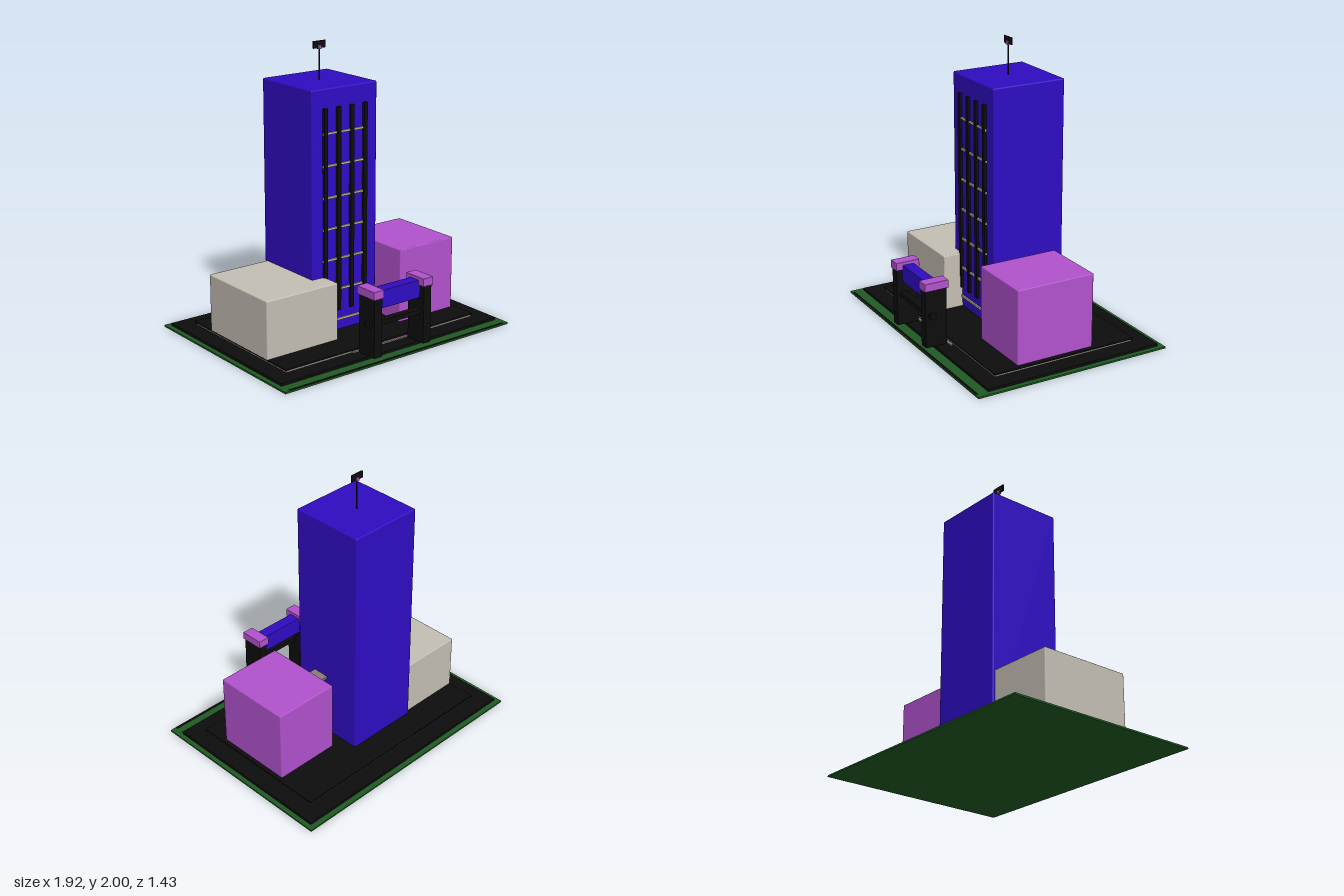
import * as THREE from 'three';
import { RoundedBoxGeometry } from 'three/addons/geometries/RoundedBoxGeometry.js';

const makeMaterial = (name, color) => {
  const m = new THREE.MeshStandardMaterial({ color });
  m.name = name;
  return m;
};

export function createModel() {
  const blue = makeMaterial('tower blue', 0x2f0cc2);
  const purple = makeMaterial('block purple', 0xb052cc);
  const beige = makeMaterial('block beige', 0xc4beb3);
  const grey = makeMaterial('concrete grey', 0x857d78);
  const black = makeMaterial('paving black', 0x0d0d0d);
  const green = makeMaterial('lawn green', 0x1f5a23);
  const sand = makeMaterial('window band sand', 0xc2b48c);

  const model = new THREE.Group();
  model.name = 'officeComplex';

  // Box given by its limits on each axis; a radius softens its edges.
  function block(name, material, [x0, x1], [y0, y1], [z0, z1], radius = 0, parent = model) {
    const size = [x1 - x0, y1 - y0, z1 - z0];
    const geometry = radius
      ? new RoundedBoxGeometry(...size, 2, radius)
      : new THREE.BoxGeometry(...size);
    const mesh = new THREE.Mesh(geometry, material);
    mesh.position.set((x0 + x1) / 2, (y0 + y1) / 2, (z0 + z1) / 2);
    mesh.name = name;
    parent.add(mesh);
    return mesh;
  }

  // Stepped site: lawn, paving and raised plaza
  block('lawn', green, [-0.96, 0.96], [0, 0.012], [-0.72, 0.715]);
  block('kerb', black, [-0.92, 0.92], [0.01, 0.015], [0.695, 0.71]);
  block('paving', black, [-0.925, 0.925], [0.012, 0.03], [-0.68, 0.625]);
  block('plazaBase', grey, [-0.8, 0.8], [0.03, 0.045], [-0.55, 0.505]);
  block('plazaTop', black, [-0.81, 0.81], [0.045, 0.055], [-0.56, 0.512]);

  // Main buildings
  block('tower', blue, [-0.34, 0.205], [0.05, 1.74], [-0.372, 0.172], 0.01);
  block('lowBlock', beige, [-0.812, -0.235], [0.05, 0.455], [-0.352, 0.315], 0.008);
  block('sideBlock', purple, [0.298, 0.78], [0.05, 0.577], [-0.25, 0.325], 0.008);

  // Bridge between tower and side block
  block('bridgeFloor', grey, [0.2, 0.302], [0.435, 0.452], [-0.1, 0.02]);
  block('bridgeRoof', grey, [0.2, 0.302], [0.505, 0.524], [-0.1, 0.02]);

  // Front facade: upright fins crossed by window bands
  const facade = new THREE.Group();
  facade.name = 'facade';
  model.add(facade);
  for (let i = 0; i < 4; i++) {
    const x = -0.235 + i * 0.111;
    block('fin', black, [x - 0.015, x + 0.015], [0.2, 1.61], [0.168, 0.19], 0, facade);
  }
  for (let i = 0; i < 7; i++) {
    const y = 0.132 + i * 0.218;
    block('windowBand', sand, [-0.253, 0.117], [y - 0.007, y + 0.007], [0.168, 0.183], 0, facade);
  }

  // Roof mast with beacon and flag
  const mast = new THREE.Mesh(new THREE.CylinderGeometry(0.005, 0.005, 0.27, 12), black);
  mast.name = 'mast';
  mast.position.set(-0.07, 1.865, -0.1);
  model.add(mast);
  block('flag', black, [-0.12, -0.02], [1.95, 2], [-0.104, -0.096]);
  block('beacon', purple, [-0.083, -0.057], [1.944, 1.97], [-0.113, -0.087], 0.004);

  // Entrance gate
  const gate = new THREE.Group();
  gate.name = 'gate';
  model.add(gate);
  for (const x of [-0.213, 0.208]) {
    block('pillar', black, [x - 0.032, x + 0.032], [0.046, 0.452], [0.552, 0.708], 0, gate);
    block('pillarCap', purple, [x - 0.043, x + 0.043], [0.45, 0.507], [0.54, 0.715], 0.004, gate);
  }
  block('gateBeam', blue, [-0.185, 0.18], [0.36, 0.485], [0.583, 0.667], 0.004, gate);
  block('gateBar', black, [-0.268, 0.262], [0.255, 0.287], [0.635, 0.685], 0, gate);
  block('gateStep', grey, [-0.295, 0.29], [0.046, 0.056], [0.533, 0.552], 0, gate);

  return model;
}
